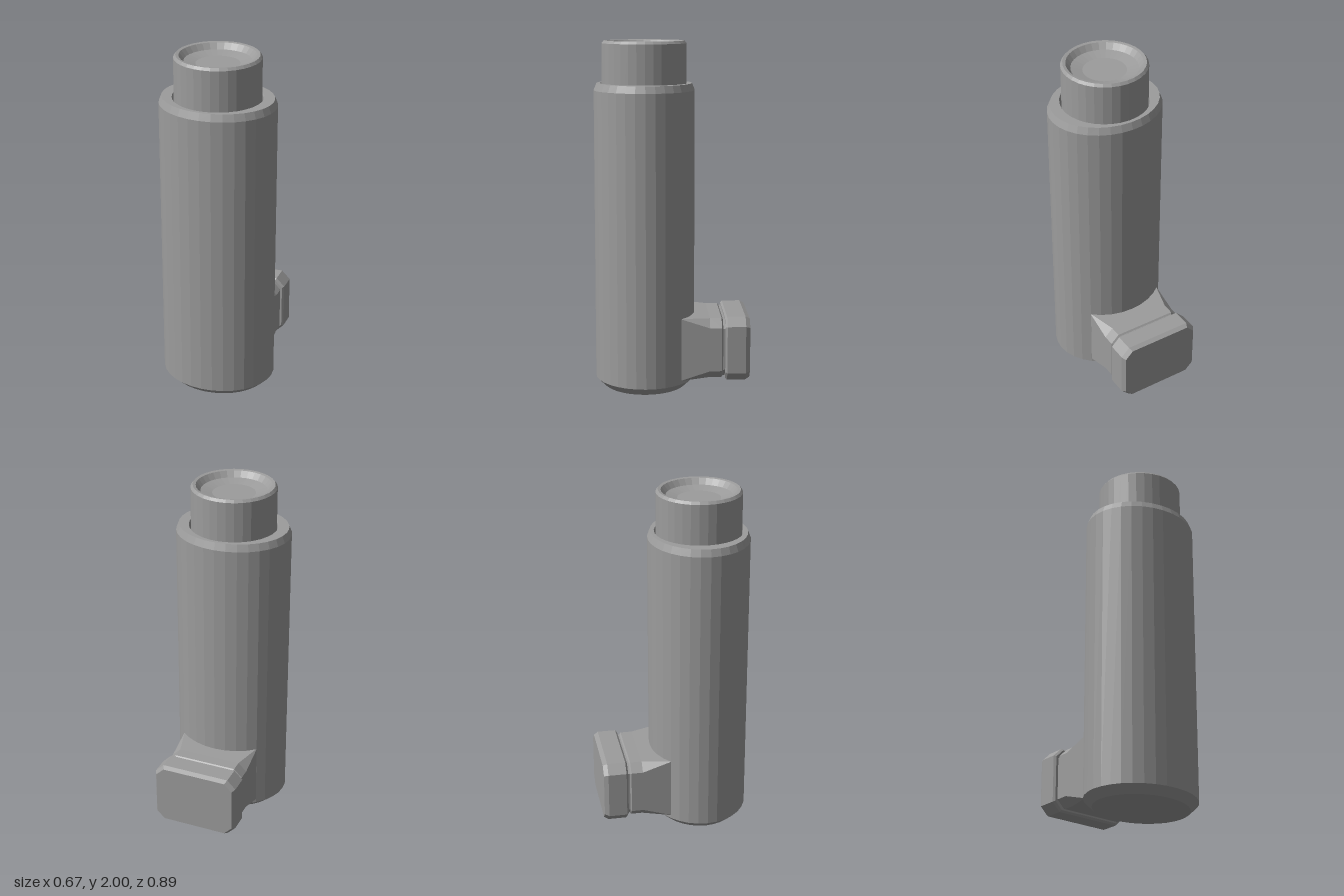
import * as THREE from 'three';

const SIDES = 32;
const AXIS_Z = 0.154;

// Faceted skin through a list of rings, closed at both ends with fans
function loft(rings) {
  const pos = [];
  const tri = (...pts) => pts.forEach((p) => pos.push(p.x, p.y, p.z));
  const middle = (ring) => ring.reduce((s, p) => s.add(p), new THREE.Vector3()).divideScalar(ring.length);
  const n = rings[0].length;
  const first = rings[0], last = rings[rings.length - 1];
  const a = middle(first), b = middle(last);
  for (let i = 0; i < n; i++) {
    const j = (i + 1) % n;
    tri(a, first[j], first[i]);
    for (let k = 0; k < rings.length - 1; k++) {
      const lo = rings[k], hi = rings[k + 1];
      tri(lo[i], lo[j], hi[j]);
      tri(lo[i], hi[j], hi[i]);
    }
    tri(b, last[i], last[j]);
  }
  const geo = new THREE.BufferGeometry();
  geo.setAttribute('position', new THREE.Float32BufferAttribute(pos, 3));
  geo.computeVertexNormals();
  return geo;
}

// Horizontal ellipse around the upright axis
function ellipse([rx, rz, y]) {
  return Array.from({ length: SIDES }, (_, i) => {
    const t = (i / SIDES) * Math.PI * 2;
    return new THREE.Vector3(rx * Math.cos(t), y, AXIS_Z - rz * Math.sin(t));
  });
}

// Upright rectangle with cut corners, facing backwards
function cutRect([z, w, h, c]) {
  const cy = 0.247;
  return [
    [w, -h + c], [w, h - c], [w - c, h], [-w + c, h],
    [-w, h - c], [-w, -h + c], [-w + c, -h], [w - c, -h],
  ].map(([u, v]) => new THREE.Vector3(u, cy - v, z));
}

export function createModel() {
  const group = new THREE.Group();
  const grey = new THREE.MeshStandardMaterial({ color: 0x9c9c9c });
  grey.name = 'grey';
  const add = (name, geo) => {
    const mesh = new THREE.Mesh(geo, grey);
    mesh.name = name;
    group.add(mesh);
  };

  // Oval sleeve: bevelled foot, bevelled shoulder and a round socket
  add('sleeve', loft([
    [0.285, 0.243, 0], [0.333, 0.289, 0.045], [0.333, 0.289, 1.72],
    [0.317, 0.273, 1.76], [0.254, 0.252, 1.76], [0.249, 0.247, 1.75], [0.249, 0.247, 1.6],
  ].map(ellipse)));

  // Canister with a dished end
  add('canister', loft([
    [0.242, 1.55], [0.242, 1.985], [0.23, 2], [0.213, 1.997],
    [0.187, 1.965], [0.122, 1.95],
  ].map(([r, y]) => ellipse([r, r, y]))));

  // Mouthpiece neck: square at the sleeve, cut corners and a groove at the end
  add('mouthpieceNeck', loft([
    [0.02, 0.235, 0.183, 0.002], [-0.05, 0.235, 0.183, 0.002], [-0.215, 0.235, 0.175, 0.048],
    [-0.283, 0.235, 0.175, 0.048], [-0.291, 0.226, 0.167, 0.046], [-0.32, 0.226, 0.167, 0.046],
  ].map(cutRect)));

  // Cap over the mouthpiece
  add('mouthpieceCap', loft([
    [-0.303, 0.24, 0.177, 0.046], [-0.314, 0.251, 0.187, 0.05],
    [-0.42, 0.251, 0.187, 0.05], [-0.445, 0.237, 0.174, 0.046],
  ].map(cutRect)));

  return group;
}
